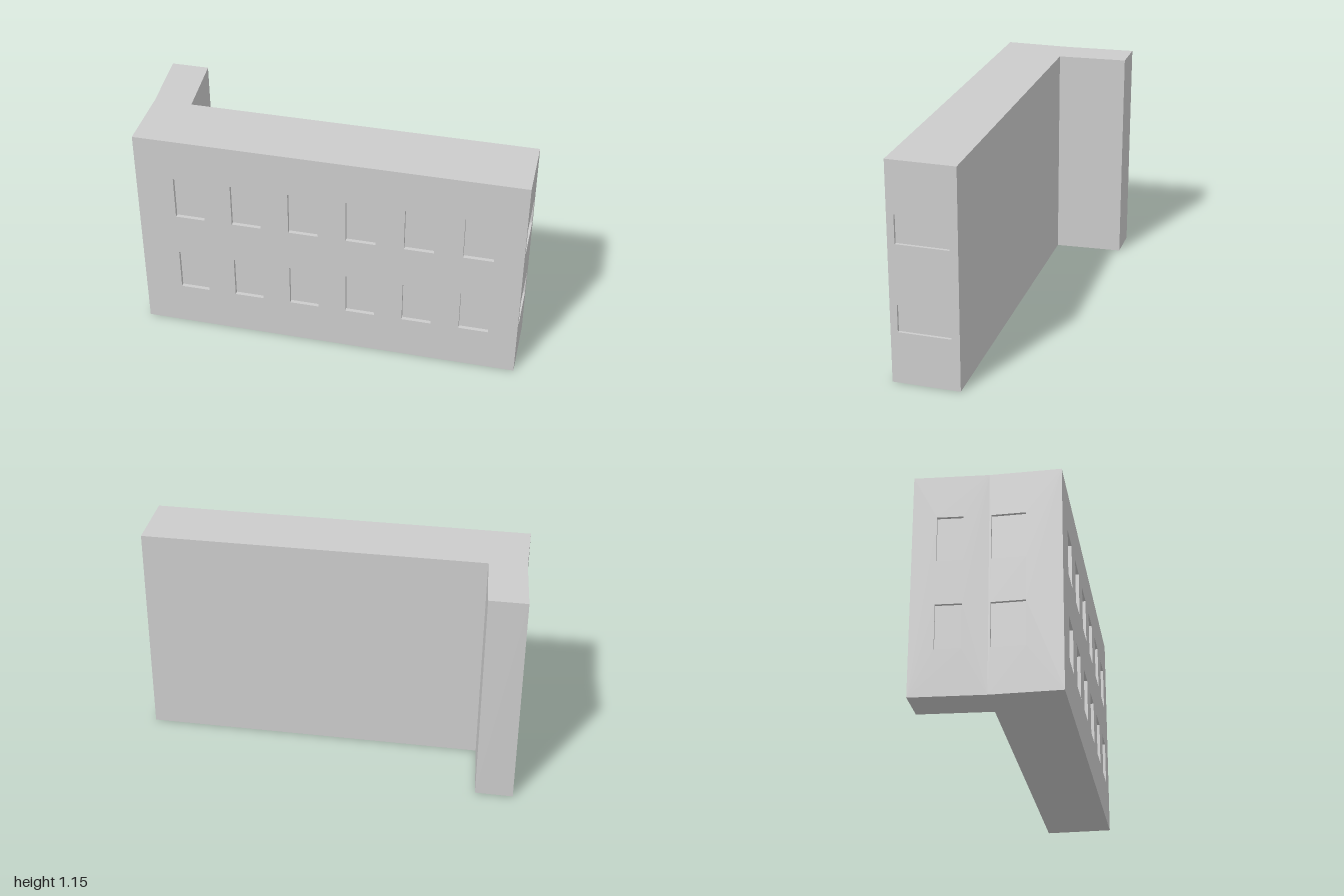
import * as THREE from 'three';

const HEIGHT = 1.155;
const material = new THREE.MeshStandardMaterial({ color: 0xcccccc, flatShading: true });

// Footprint corners [x, z], listed left to right as seen from outside
const FOOTPRINT = [
  [-0.975, 0.357], [1, 0.357], [1, 0.008], [-0.78, 0.008],
  [-0.805, -0.357], [-1, -0.357], [-0.975, 0.008],
];

// Window rectangles [u0, u1, y0, y1] on both storeys
const storeys = (spans, rows) => rows.flatMap(([y0, y1]) => spans.map(([u0, u1]) => [u0, u1, y0, y1]));
const TALL = [[0.235, 0.465], [0.695, 0.93]];
const LOW = [[0.275, 0.42], [0.735, 0.885]];

function mesh(geometry, name) {
  const m = new THREE.Mesh(geometry, material);
  m.name = name;
  return m;
}

// Inward-facing box without its front side: window pane and reveals
function recess([u0, u1, y0, y1], depth) {
  const g = new THREE.BoxGeometry(u1 - u0, y1 - y0, depth);
  const index = Array.from(g.index.array).filter((_, i) => i < 24 || i >= 30);
  g.setIndex(index.reverse());
  g.computeVertexNormals();
  g.translate((u0 + u1) / 2, (y0 + y1) / 2, -depth / 2);
  return mesh(g, 'windowRecess');
}

// Wall from corner a to corner b with recessed windows
function wall(name, a, b, windows = [], depth = 0.015) {
  const dx = b[0] - a[0], dz = b[1] - a[1], length = Math.hypot(dx, dz);
  const shape = new THREE.Shape([[0, 0], [length, 0], [length, HEIGHT], [0, HEIGHT]]
    .map(([x, y]) => new THREE.Vector2(x, y)));
  for (const [u0, u1, y0, y1] of windows) {
    shape.holes.push(new THREE.Path([[u0, y0], [u0, y1], [u1, y1], [u1, y0]]
      .map(([x, y]) => new THREE.Vector2(x, y))));
  }
  const group = new THREE.Group();
  group.name = name;
  group.add(mesh(new THREE.ShapeGeometry(shape), name + 'Face'));
  windows.forEach((w) => group.add(recess(w, depth)));
  group.position.set(a[0], 0, a[1]);
  group.rotation.y = Math.atan2(-dz, dx);
  return group;
}

// Horizontal cap over the footprint
function cap(name, y, up) {
  const shape = new THREE.Shape(FOOTPRINT.map(([x, z]) => new THREE.Vector2(x, up ? -z : z)));
  const g = new THREE.ShapeGeometry(shape);
  g.rotateX(up ? -Math.PI / 2 : Math.PI / 2);
  g.translate(0, y, 0);
  return mesh(g, name);
}

export function createModel() {
  const model = new THREE.Group();
  model.name = 'building';

  const frontSpans = Array.from({ length: 6 }, (_, i) => [0.195 + i * 0.296, 0.347 + i * 0.296]);
  const walls = [
    ['frontWall', storeys(frontSpans, TALL), 0.02],
    ['leftEndWall', storeys([[0.037, 0.307]], LOW)],
    ['backWall'],
    ['wingInnerWall'],
    ['wingBackWall'],
    ['wingOuterWall', storeys([[0.117, 0.243]], TALL)],
    ['rightEndWall', storeys([[0.01, 0.175]], TALL)],
  ];
  walls.forEach(([name, windows, depth], i) => {
    model.add(wall(name, FOOTPRINT[i], FOOTPRINT[(i + 1) % FOOTPRINT.length], windows, depth));
  });

  model.add(cap('roof', HEIGHT, true), cap('floor', 0, false));
  return model;
}
